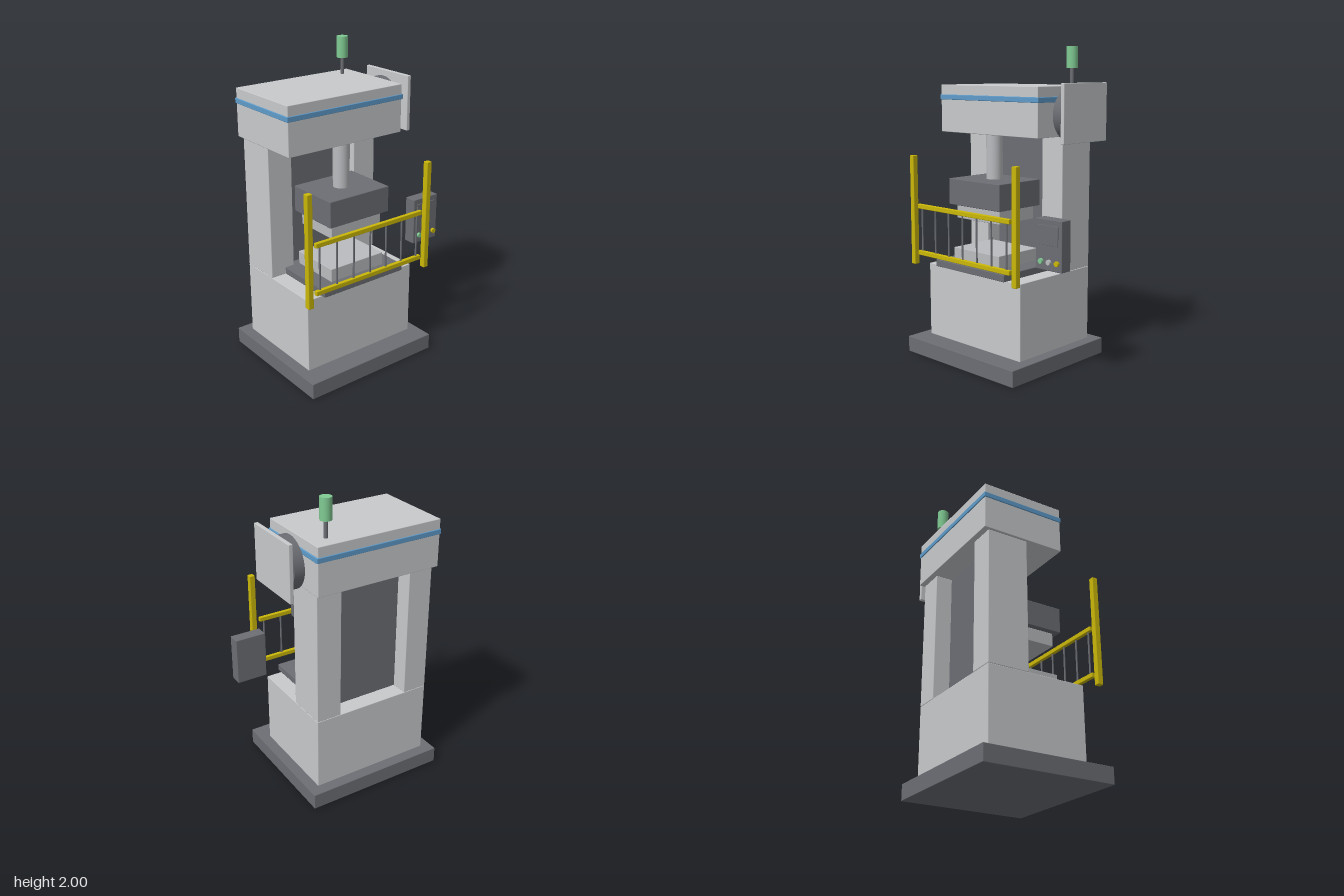
import * as THREE from 'three';
import { RoundedBoxGeometry } from 'three/addons/geometries/RoundedBoxGeometry.js';

function material(name, color) {
  const m = new THREE.MeshStandardMaterial({ color });
  m.name = name;
  return m;
}

export function createModel() {
  const paint = material('light grey paint', 0xc8cacc);
  const dark = material('dark grey', 0x6c6e74);
  const steel = material('steel', 0xbabcbf);
  const yellow = material('safety yellow', 0xcbb808);
  const blue = material('blue trim', 0x5f9ccb);
  const green = material('signal green', 0x80cb93);

  const model = new THREE.Group();
  model.name = 'hydraulicPress';

  // Box from its extents along each axis, with a tiny edge bevel
  function box(name, mat, [x0, x1], [y0, y1], [z0, z1]) {
    const size = [x1 - x0, y1 - y0, z1 - z0];
    const bevel = Math.min(0.004, Math.min(...size) * 0.2);
    const mesh = new THREE.Mesh(new RoundedBoxGeometry(...size, 1, bevel), mat);
    mesh.position.set((x0 + x1) / 2, (y0 + y1) / 2, (z0 + z1) / 2);
    mesh.name = name;
    model.add(mesh);
    return mesh;
  }

  // Cylinder centred at a point, along the chosen axis
  function cylinder(name, mat, radius, length, [x, y, z], axis = 'y', sides = 40) {
    const geo = new THREE.CylinderGeometry(radius, radius, length, sides);
    if (axis === 'x') geo.rotateZ(-Math.PI / 2);
    if (axis === 'z') geo.rotateX(Math.PI / 2);
    const mesh = new THREE.Mesh(geo, mat);
    mesh.position.set(x, y, z);
    mesh.name = name;
    model.add(mesh);
    return mesh;
  }

  // Base and frame
  box('basePlate', dark, [-0.583, 0.373], [0, 0.105], [-0.43, 0.427]);
  box('lowerBody', paint, [-0.515, 0.305], [0.105, 0.592], [-0.36, 0.29]);
  box('rightColumn', paint, [-0.515, -0.348], [0.592, 1.452], [-0.36, -0.09]);
  box('leftColumn', paint, [0.138, 0.305], [0.592, 1.452], [-0.36, -0.09]);
  box('backPanel', dark, [-0.35, 0.14], [0.592, 1.452], [-0.25, -0.2]);

  // Head with trim band
  box('head', paint, [-0.531, 0.317], [1.452, 1.758], [-0.395, 0.153]);
  box('trimBand', blue, [-0.537, 0.325], [1.662, 1.695], [-0.401, 0.159]);

  // Ram, slide and dies
  cylinder('ramRod', steel, 0.052, 0.29, [-0.105, 1.31, 0.09]);
  box('slide', dark, [-0.33, 0.12], [1.005, 1.172], [-0.09, 0.276]);
  box('upperDie', steel, [-0.295, 0.085], [0.916, 1.005], [-0.066, 0.24]);
  box('lowerDie', steel, [-0.31, 0.095], [0.637, 0.724], [-0.088, 0.256]);
  box('bolster', dark, [-0.412, 0.202], [0.592, 0.637], [-0.14, 0.324]);

  // Flywheel and its guard plate
  cylinder('flywheel', dark, 0.163, 0.068, [0.37, 1.585, -0.123], 'x', 64);
  cylinder('flywheelShaft', dark, 0.02, 0.11, [0.354, 1.585, -0.123], 'x');
  box('flywheelGuard', paint, [0.432, 0.458], [1.42, 1.778], [-0.326, 0.082]);

  // Signal beacon
  cylinder('beaconPole', dark, 0.012, 0.11, [0.204, 1.812, -0.295]);
  cylinder('beaconLamp', green, 0.036, 0.135, [0.204, 1.9325, -0.295]);

  // Safety gate
  for (const [name, x] of [['rightPost', -0.559], ['leftPost', 0.349]]) {
    box(name, yellow, [x - 0.018, x + 0.018], [0.595, 1.31], [0.355, 0.392]);
  }
  for (const [name, y] of [['lowerRail', 0.677], ['upperRail', 0.983]]) {
    box(name, yellow, [-0.515, 0.305], [y - 0.015, y + 0.015], [0.361, 0.386]);
  }
  for (let i = 0; i < 7; i++) {
    cylinder('gateBar', dark, 0.006, 0.3, [-0.483 + i * 0.126, 0.83, 0.373], 'y', 12);
  }

  // Control box with screen and buttons
  box('controlBox', dark, [0.378, 0.58], [0.695, 1.0], [0.155, 0.235]);
  box('controlScreen', dark, [0.405, 0.553], [0.848, 0.965], [0.232, 0.24]);
  [green, steel, yellow].forEach((mat, i) => {
    cylinder('controlButton', mat, 0.016, 0.018, [0.424 + i * 0.062, 0.748, 0.241], 'z', 20);
  });

  return model;
}
